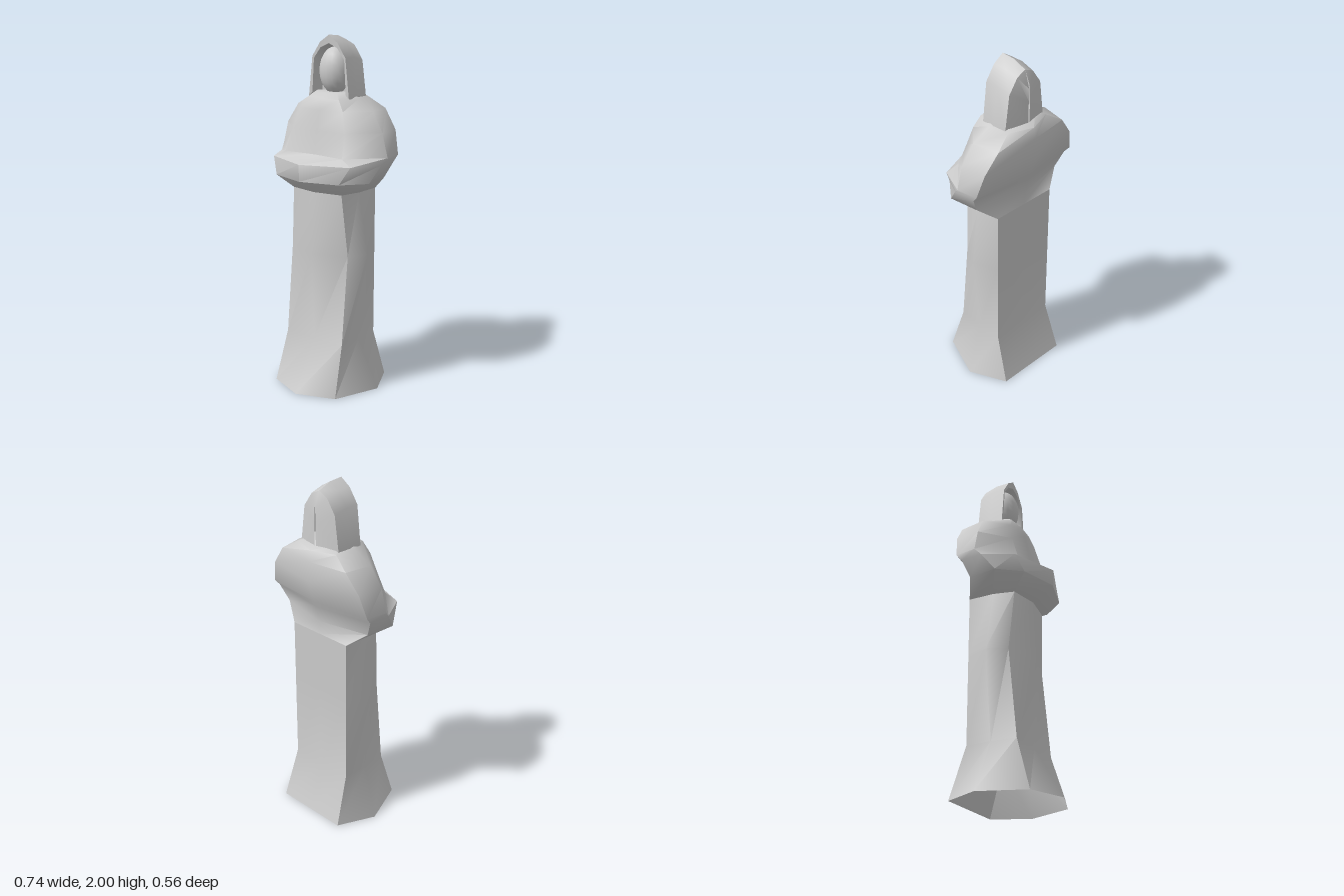
import * as THREE from 'three';
import { toCreasedNormals } from 'three/addons/utils/BufferGeometryUtils.js';

const material = new THREE.MeshStandardMaterial({ color: 0xcccccc, side: THREE.DoubleSide });

// Skins a list of equally long rows of [x, y, z] points; closed joins row ends.
function loft(name, rows, closed, crease) {
  const n = rows[0].length;
  const index = [];
  for (let j = 0; j < rows.length - 1; j++) {
    for (let i = 0; i < (closed ? n : n - 1); i++) {
      const k = (i + 1) % n;
      const a = j * n + i, b = j * n + k, c = a + n, d = b + n;
      index.push(a, b, d, a, d, c);
    }
  }
  const geometry = new THREE.BufferGeometry();
  geometry.setAttribute('position', new THREE.Float32BufferAttribute(rows.flat(2), 3));
  geometry.setIndex(index);
  const mesh = new THREE.Mesh(toCreasedNormals(geometry, crease), material);
  mesh.name = name;
  return mesh;
}

// Full ring from its +x half: front, front corner, side, back corner, back.
function ring(y, half) {
  const points = half.map(([x, z]) => [x, y, z]);
  const mirrored = points.slice(1, -1).reverse().map(([x, h, z]) => [-x, h, z]);
  return [...points, ...mirrored];
}

// Full arch from its +x half, listed from the foot to the ridge.
function arch(z, half) {
  const points = half.map(([x, y]) => [x, y, z]);
  const mirrored = points.slice(0, -1).reverse().map(([x, y, d]) => [-x, y, d]);
  return [...points, ...mirrored];
}

export function createModel() {
  const model = new THREE.Group();
  model.name = 'hoodedFigure';

  // Long robe, flared and open at the hem
  model.add(loft('robe', [
    ring(0, [[0, 0.28], [0.22, 0.195], [0.32, -0.07], [0.22, -0.28], [0, -0.28]]),
    ring(0.29, [[0, 0.11], [0.2, 0.11], [0.205, -0.04], [0.2, -0.19], [0, -0.19]]),
    ring(0.8, [[0, 0.135], [0.2, 0.06], [0.255, -0.05], [0.2, -0.19], [0, -0.19]]),
    ring(1.15, [[0, 0.11], [0.17, 0.08], [0.2, -0.04], [0.2, -0.19], [0, -0.19]]),
  ], true, 0.95));

  // Shoulders and folded sleeves, with the forearms as a ledge in front
  model.add(loft('shouldersAndSleeves', [
    ring(1.15, [[0, 0.11], [0.17, 0.08], [0.2, -0.04], [0.2, -0.19], [0, -0.19]]),
    ring(1.23, [[0, 0.235], [0.22, 0.17], [0.325, 0.04], [0.3, -0.13], [0, -0.195]]),
    ring(1.325, [[0, 0.24], [0.27, 0.135], [0.355, -0.03], [0.345, -0.16], [0, -0.215]]),
    ring(1.36, [[0, 0.1], [0.2, 0.115], [0.37, -0.065], [0.352, -0.19], [0, -0.23]]),
    ring(1.49, [[0, 0.08], [0.18, 0.07], [0.335, -0.065], [0.315, -0.215], [0, -0.27]]),
    ring(1.6, [[0, 0.055], [0.15, 0.045], [0.265, -0.075], [0.235, -0.23], [0, -0.262]]),
    ring(1.66, [[0, 0.04], [0.11, 0.03], [0.16, -0.08], [0.14, -0.2], [0, -0.25]]),
    ring(1.69, [[0, 0.015], [0.08, 0], [0.12, -0.08], [0.1, -0.16], [0, -0.18]]),
    ring(1.69, [[0, -0.07], [0.01, -0.075], [0.015, -0.08], [0.01, -0.085], [0, -0.09]]),
  ], true, 0.95));

  // Hood: back ridge, outer shell, front rim, then the hollow inside
  model.add(loft('hood', [
    arch(-0.213, [[0.004, 1.66], [0.004, 1.8], [0.003, 1.87], [0, 1.89]]),
    arch(-0.18, [[0.137, 1.66], [0.11, 1.86], [0.055, 1.94], [0, 1.965]]),
    arch(-0.1, [[0.147, 1.66], [0.117, 1.88], [0.06, 1.96], [0, 1.995]]),
    arch(-0.02, [[0.14, 1.66], [0.115, 1.88], [0.06, 1.96], [0, 2]]),
    arch(-0.022, [[0.117, 1.68], [0.105, 1.87], [0.058, 1.93], [0, 1.955]]),
    arch(-0.09, [[0.1, 1.68], [0.09, 1.86], [0.05, 1.91], [0, 1.93]]),
    arch(-0.1, [[0.01, 1.68], [0.01, 1.78], [0.005, 1.8], [0, 1.805]]),
  ], false, 0.8));

  // Rounded face set in the hood opening
  const face = new THREE.Mesh(new THREE.SphereGeometry(1, 16, 12), material);
  face.name = 'face';
  face.scale.set(0.092, 0.13, 0.085);
  face.position.set(0, 1.805, -0.08);
  model.add(face);

  return model;
}
